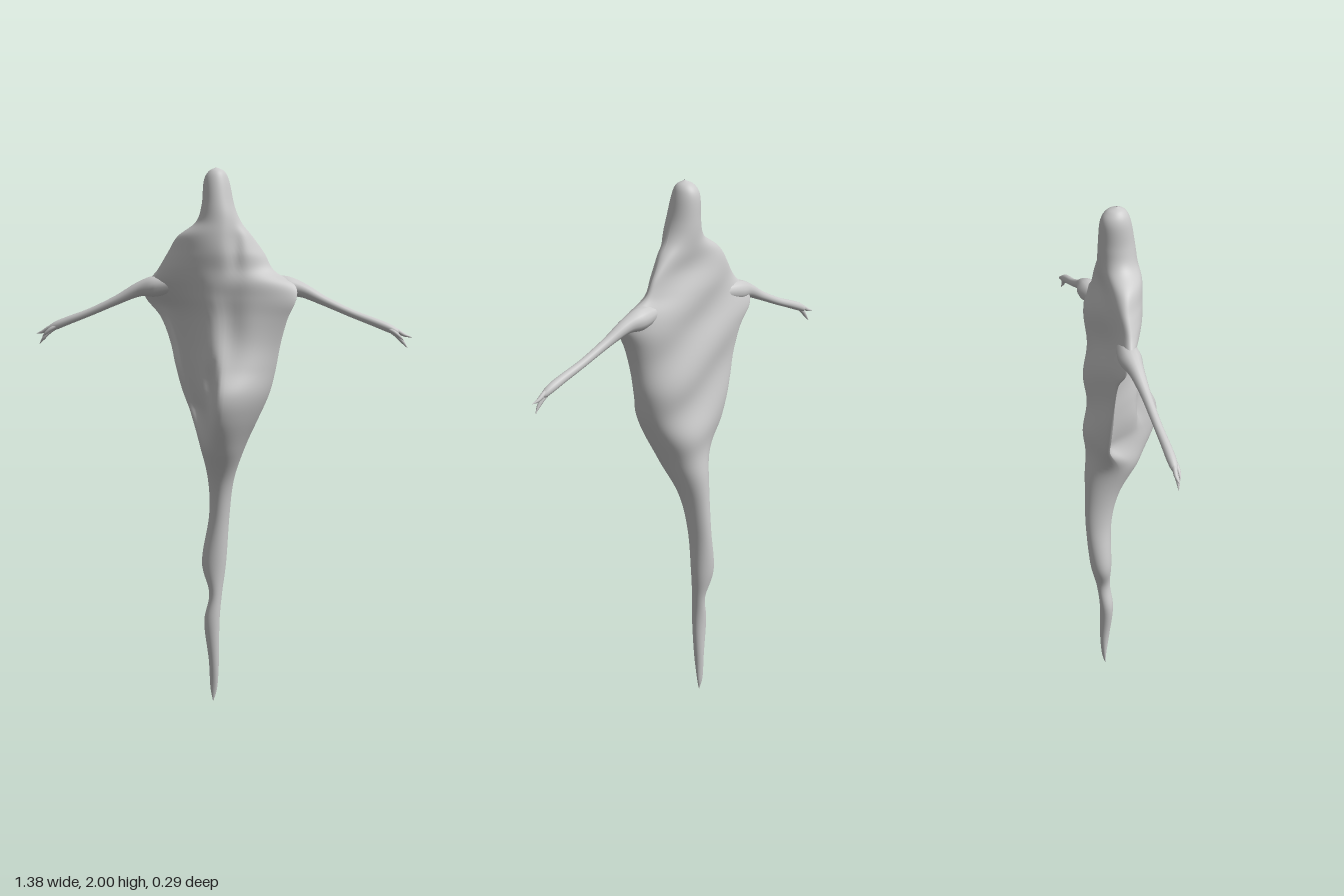
import * as THREE from 'three';

const material = new THREE.MeshStandardMaterial({ color: 0xcccccc, side: THREE.DoubleSide });
const gauss = (d, s) => Math.exp(-(d * d) / (s * s));
const smooth = THREE.MathUtils.smoothstep;
const lerp = THREE.MathUtils.lerp;

// Skin a list of closed rings (equal point counts) into one smooth surface.
function loft(rings) {
  const n = rings[0].length, index = [];
  for (let i = 0; i < rings.length - 1; i++) {
    for (let j = 0; j < n; j++) {
      const a = i * n + j, b = i * n + (j + 1) % n;
      index.push(a, b, a + n, b, b + n, a + n);
    }
  }
  const geometry = new THREE.BufferGeometry().setFromPoints(rings.flat());
  geometry.setIndex(index);
  geometry.computeVertexNormals();
  return geometry;
}

// Body outline, top to bottom: y, right edge, left edge, front z, back z
const BODY = [
  [2.0, -0.008, -0.004, -0.013, -0.017],
  [1.985, -0.035, 0.024, 0.014, -0.05],
  [1.95, -0.052, 0.04, 0.03, -0.07],
  [1.87, -0.058, 0.058, 0.045, -0.075],
  [1.81, -0.08, 0.083, 0.053, -0.076],
  [1.76, -0.15, 0.122, 0.06, -0.08],
  [1.7, -0.19, 0.165, 0.06, -0.08],
  [1.64, -0.228, 0.2, 0.052, -0.087],
  [1.59, -0.275, 0.275, 0.05, -0.092],
  [1.54, -0.28, 0.285, 0.048, -0.097],
  [1.47, -0.225, 0.255, 0.052, -0.105],
  [1.38, -0.19, 0.23, 0.07, -0.11],
  [1.29, -0.17, 0.213, 0.105, -0.118],
  [1.2, -0.145, 0.19, 0.145, -0.122],
  [1.11, -0.11, 0.15, 0.133, -0.13],
  [1.0, -0.068, 0.098, 0.075, -0.132],
  [0.87, -0.046, 0.05, -0.005, -0.137],
  [0.73, -0.046, 0.03, -0.042, -0.14],
  [0.55, -0.074, 0.018, -0.05, -0.13],
  [0.43, -0.044, 0.004, -0.053, -0.105],
  [0.32, -0.062, -0.004, -0.045, -0.096],
  [0.17, -0.046, -0.007, -0.058, -0.096],
  [0.06, -0.041, -0.014, -0.073, -0.09],
  [0.005, -0.03, -0.028, -0.076, -0.078],
];

// Draped body: thin side edges, a ridge and belly fold in front, a broad back
function bodyGeometry() {
  const spline = f => new THREE.CatmullRomCurve3(BODY.map(f), false, 'catmullrom', 0.5);
  const sides = spline(r => new THREE.Vector3(r[1], r[0], r[2]));
  const depths = spline(r => new THREE.Vector3(r[3], r[0], r[4]));
  const rings = [], rows = 160, n = 80;
  for (let i = 0; i <= rows; i++) {
    const s = sides.getPoint(i / rows), d = depths.getPoint(i / rows);
    const y = s.y, cx = (s.x + s.z) / 2, hx = (s.z - s.x) / 2;
    const drape = smooth(y, 0.92, 1.15) * (1 - smooth(y, 1.7, 1.85));
    const fold = smooth(y, 0.98, 1.15) * (1 - smooth(y, 1.5, 1.66));
    const mid = (d.x + d.z) / 2;
    const ring = [];
    for (let j = 0; j < n; j++) {
      const t = j / n * Math.PI * 2, u = Math.cos(t), h = Math.abs(Math.sin(t));
      const x = cx + hx * u;
      const edge = lerp(mid, -0.035, drape) + fold * 0.045 * u;
      let z;
      if (Math.sin(t) >= 0) {
        // steep on the right of the ridge, gentle on the left
        const skew = u < 0.05 ? smooth(u, -0.85, 0.05) : Math.pow(h, 1.5);
        const bell = lerp(lerp(h, Math.pow(h, 1.5), drape), skew, fold);
        z = edge + (d.x - edge) * bell;
        z -= 0.05 * gauss(x + 0.012, 0.022) * gauss(y - 1.22, 0.08);
        z -= 0.018 * gauss(x - 0.05, 0.05) * gauss(y - 1.43, 0.12);
        z -= 0.015 * gauss(x - 0.07, 0.025) * gauss(y - 1.72, 0.1);
      } else {
        z = edge + (d.z - edge) * Math.pow(h, lerp(1, 0.85, drape));
        z += drape * h * 0.008 * (1 + Math.sin(y * 26 + x * 14));
      }
      ring.push(new THREE.Vector3(x, y, z));
    }
    rings.push(ring);
  }
  return loft(rings);
}

// Tapered limb through points [x, y, z, radius]
function limbGeometry(points, rows, n = 14) {
  const curve = new THREE.CatmullRomCurve3(points.map(p => new THREE.Vector3(p[0], p[1], p[2])), false, 'catmullrom', 0.5);
  const radii = new THREE.CatmullRomCurve3(points.map((p, i) => new THREE.Vector3(p[3], i, 0)), false, 'catmullrom', 0.5);
  const rings = [];
  for (let i = 0; i <= rows; i++) {
    const k = i / rows, p = curve.getPoint(k), T = curve.getTangent(k);
    const r = Math.max(radii.getPoint(k).x, 0.0005);
    const U = new THREE.Vector3(0, 0, 1).cross(T).normalize();
    const V = new THREE.Vector3().crossVectors(T, U);
    rings.push(Array.from({ length: n }, (_, j) => {
      const a = j / n * Math.PI * 2;
      return p.clone().addScaledVector(U, r * Math.cos(a)).addScaledVector(V, r * Math.sin(a));
    }));
  }
  return loft(rings);
}

function addMesh(parent, name, geometry) {
  const mesh = new THREE.Mesh(geometry, material);
  mesh.name = name;
  parent.add(mesh);
}

// One arm with its fingers; side is +1 for left, -1 for right
function createArm(name, side) {
  const arm = new THREE.Group();
  arm.name = name;
  const place = pts => pts.map(([x, y, z, r]) => [x * side, y, z, r]);
  addMesh(arm, name + 'Limb', limbGeometry(place([
    [0.17, 1.59, -0.04, 0.03], [0.24, 1.582, -0.045, 0.038], [0.3, 1.57, -0.043, 0.026],
    [0.38, 1.532, -0.038, 0.017], [0.48, 1.488, -0.035, 0.014], [0.56, 1.458, -0.032, 0.015],
    [0.61, 1.438, -0.031, 0.015], [0.64, 1.423, -0.031, 0.01], [0.648, 1.419, -0.031, 0.0005],
  ]), 48));
  const fingers = [
    [[0.605, 1.442, -0.03, 0.008], [0.64, 1.428, -0.032, 0.008], [0.665, 1.414, -0.035, 0.006], [0.692, 1.406, -0.034, 0.0005]],
    [[0.61, 1.435, -0.03, 0.009], [0.64, 1.412, -0.028, 0.008], [0.66, 1.39, -0.027, 0.006], [0.677, 1.368, -0.03, 0.0005]],
    [[0.605, 1.438, -0.026, 0.008], [0.63, 1.424, -0.02, 0.007], [0.65, 1.408, -0.019, 0.005], [0.663, 1.396, -0.021, 0.0005]],
  ];
  fingers.forEach((f, i) => addMesh(arm, name + 'Finger' + (i + 1), limbGeometry(place(f), 14, 10)));
  return arm;
}

export function createModel() {
  const model = new THREE.Group();
  model.name = 'drapedFigure';
  addMesh(model, 'body', bodyGeometry());
  model.add(createArm('leftArm', 1), createArm('rightArm', -1));
  return model;
}
